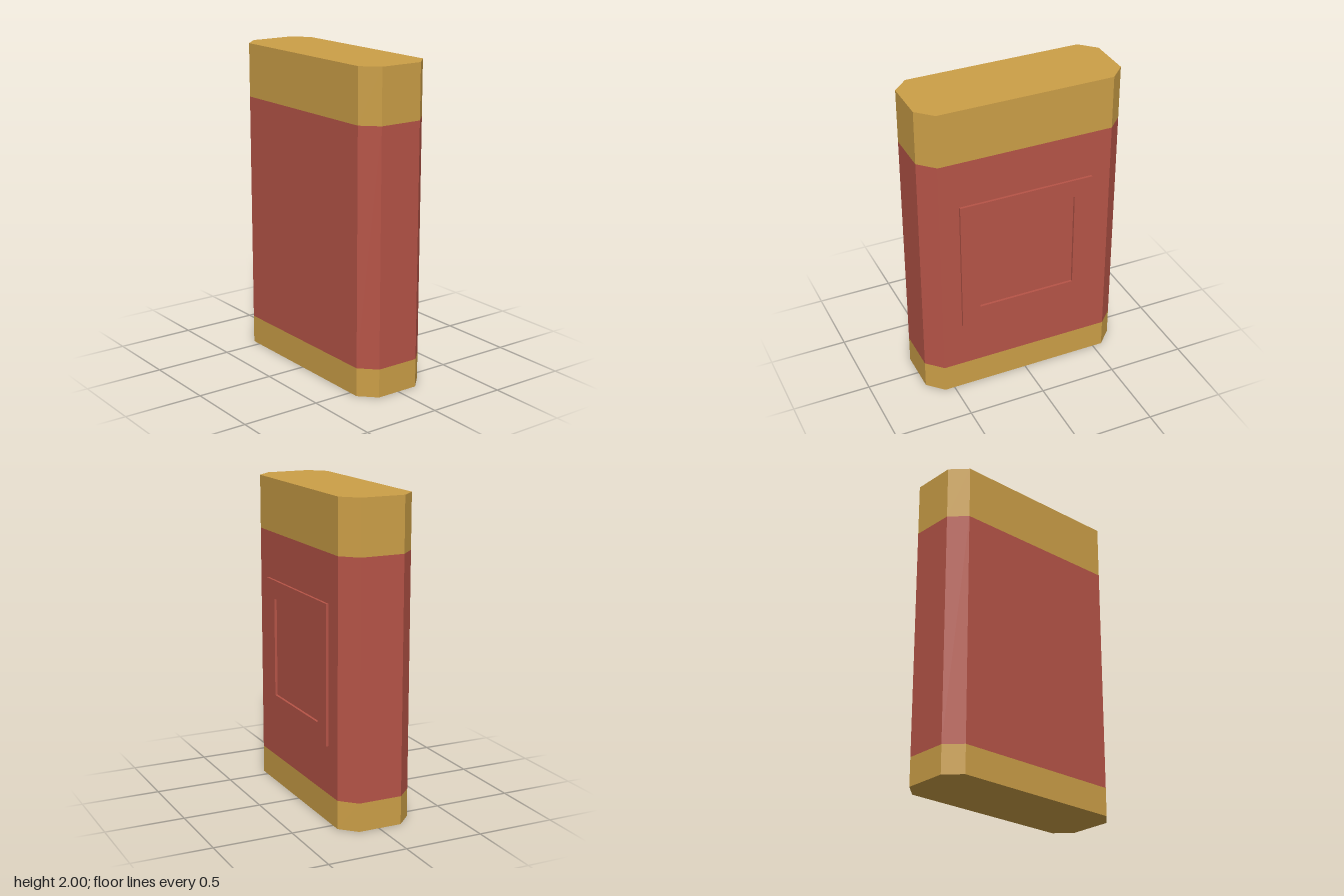
import * as THREE from 'three';

// Chamfered slab outline as [x, z], counter-clockwise seen from above
const OUTLINE = [
  [0.563, 0.245], [0.66, 0.148], [0.66, -0.133], [0.563, -0.23],
  [-0.563, -0.23], [-0.66, -0.133], [-0.66, 0.148], [-0.563, 0.245],
];

// One horizontal band of the slab; ends are closed only where they show
function bandGeometry(y0, y1, closeBottom, closeTop) {
  const pos = [];
  const n = OUTLINE.length;
  const at = (i, y) => [OUTLINE[i % n][0], y, OUTLINE[i % n][1]];
  const tri = (a, b, c) => pos.push(...a, ...b, ...c);
  for (let i = 0; i < n; i++) {
    tri(at(i, y0), at(i + 1, y0), at(i + 1, y1));
    tri(at(i, y0), at(i + 1, y1), at(i, y1));
  }
  for (let i = 1; i < n - 1; i++) {
    if (closeTop) tri(at(0, y1), at(i, y1), at(i + 1, y1));
    if (closeBottom) tri(at(0, y0), at(i + 1, y0), at(i, y0));
  }
  const geo = new THREE.BufferGeometry();
  geo.setAttribute('position', new THREE.Float32BufferAttribute(pos, 3));
  geo.computeVertexNormals();
  return geo;
}

// Square outline centred on the origin
function square(path, half) {
  path.moveTo(-half, -half);
  path.lineTo(half, -half);
  path.lineTo(half, half);
  path.lineTo(-half, half);
  path.closePath();
  return path;
}

export function createModel() {
  const model = new THREE.Group();
  const gold = new THREE.MeshStandardMaterial({ color: 0xcc9f47 });
  gold.name = 'gold';
  const red = new THREE.MeshStandardMaterial({ color: 0xb65447 });
  red.name = 'brick red';

  const add = (name, geometry, material) => {
    const mesh = new THREE.Mesh(geometry, material);
    mesh.name = name;
    model.add(mesh);
    return mesh;
  };

  // Slab: gold base, red middle, gold top
  add('baseBand', bandGeometry(0, 0.18, true, false), gold);
  add('middleBand', bandGeometry(0.18, 1.66, false, false), red);
  add('topBand', bandGeometry(1.66, 2, false, true), gold);

  // Raised square frame on the back
  const shape = square(new THREE.Shape(), 0.437);
  shape.holes.push(square(new THREE.Path(), 0.319));
  const frameGeo = new THREE.ExtrudeGeometry(shape, { depth: 0.016, bevelEnabled: false });
  add('backFrame', frameGeo, red).position.set(0, 0.922, -0.246);

  return model;
}
